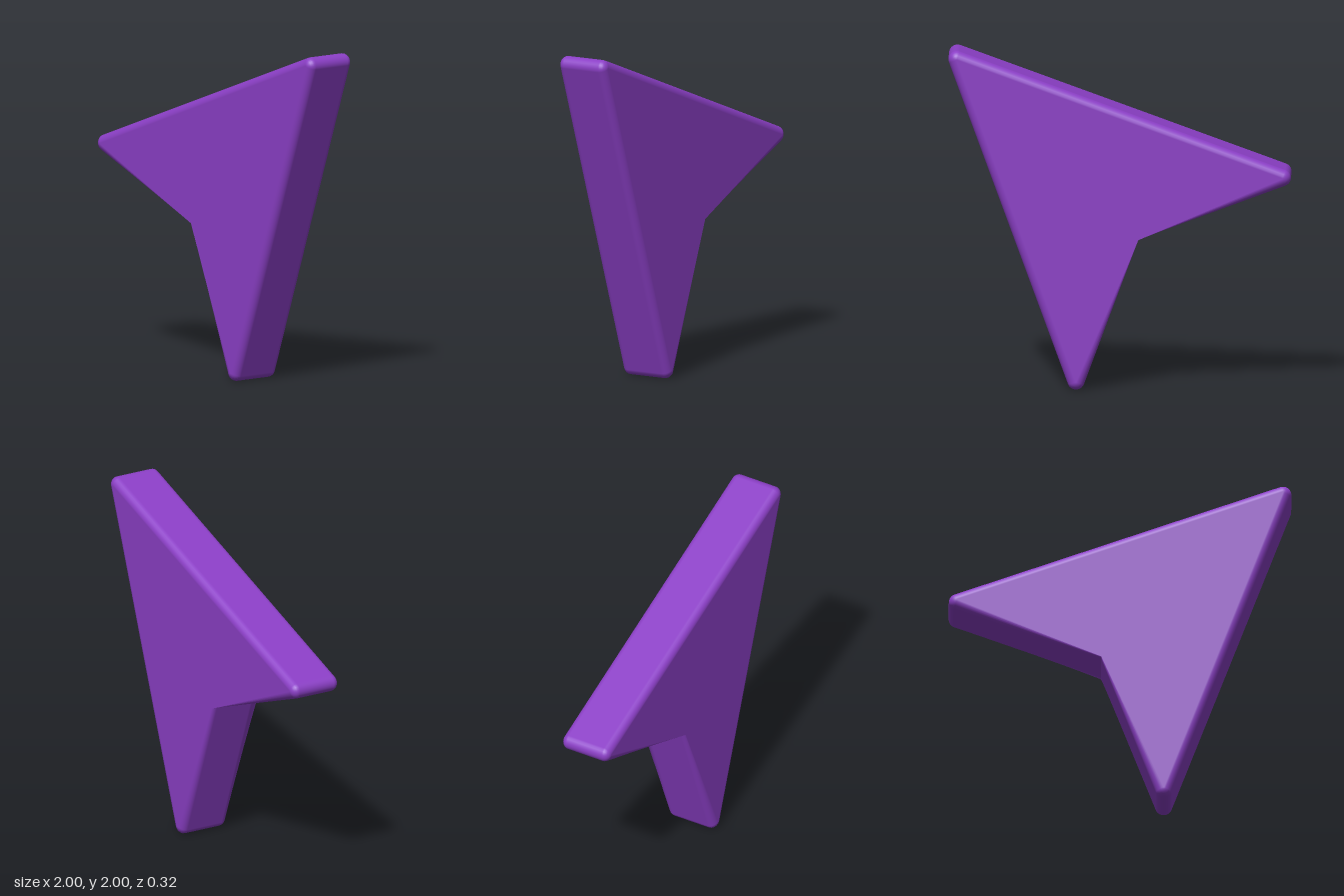
import * as THREE from 'three';

const H = 0.16;  // half thickness
const R = 0.05;  // radius of the rounded tips
const BZ = 0.042; // bevel depth along z
const ARC = 10, STEPS = 6;

// Core outline, counter-clockwise: notch, bottom tip, top tip, left tip
const core = [[-0.071, 0.929], [0.255, 0.05], [0.95, 1.95], [-0.95, 1.255]];
const NOTCH = [-0.11, 0.89];

// Angle of the outward normal of edge i
function edgeAngle(i) {
  const a = core[i], b = core[(i + 1) % 4];
  return Math.atan2(b[1] - a[1], b[0] - a[0]) - Math.PI / 2;
}

// Outline stations: base point, normal angle, and whether the bevel moves it
function outline() {
  const stations = [{ p: NOTCH, a: edgeAngle(0), tip: 0 }];
  for (let k = 1; k < 4; k++) {
    const a0 = edgeAngle(k - 1);
    let a1 = edgeAngle(k);
    while (a1 < a0) a1 += Math.PI * 2;
    for (let s = 0; s <= ARC; s++) {
      stations.push({ p: core[k], a: a0 + (a1 - a0) * s / ARC, tip: 1 });
    }
  }
  stations.push({ p: NOTCH, a: edgeAngle(3), tip: 0 });
  return stations;
}

function arrowGeometry() {
  const st = outline(), n = st.length;
  const pos = [], nor = [], idx = [];

  const addRing = (phi, side, capNormal) => {
    const c = Math.cos(phi), s = Math.sin(phi);
    const d = Math.max(R * c, 0.002);
    for (const { p, a, tip } of st) {
      pos.push(p[0] + tip * d * Math.cos(a), p[1] + tip * d * Math.sin(a), side * (H - BZ + BZ * s));
      if (capNormal) nor.push(0, 0, side);
      else nor.push(Math.cos(a) * c, Math.sin(a) * c, side * s);
    }
  };

  // Rounded rim: back bevel, straight wall, front bevel
  for (let j = STEPS; j >= 0; j--) addRing(j / STEPS * Math.PI / 2, -1);
  for (let j = 0; j <= STEPS; j++) addRing(j / STEPS * Math.PI / 2, 1);
  for (let j = 0; j < 2 * STEPS + 1; j++) {
    for (let i = 0; i < n - 1; i++) {
      const a = j * n + i, d = a + n;
      idx.push(a, a + 1, d + 1, a, d + 1, d);
    }
  }

  // Flat faces, fanned from the notch
  for (const side of [-1, 1]) {
    const o = pos.length / 3;
    addRing(Math.PI / 2, side, true);
    for (let i = 1; i < n - 2; i++) {
      if (side > 0) idx.push(o, o + i, o + i + 1);
      else idx.push(o, o + i + 1, o + i);
    }
  }

  const g = new THREE.BufferGeometry();
  g.setAttribute('position', new THREE.Float32BufferAttribute(pos, 3));
  g.setAttribute('normal', new THREE.Float32BufferAttribute(nor, 3));
  g.setIndex(idx);
  return g;
}

export function createModel() {
  const group = new THREE.Group();
  group.name = 'pointerArrow';
  const arrow = new THREE.Mesh(arrowGeometry(), new THREE.MeshStandardMaterial({ color: 0x8b3fc6 }));
  arrow.name = 'arrowhead';
  group.add(arrow);
  return group;
}
